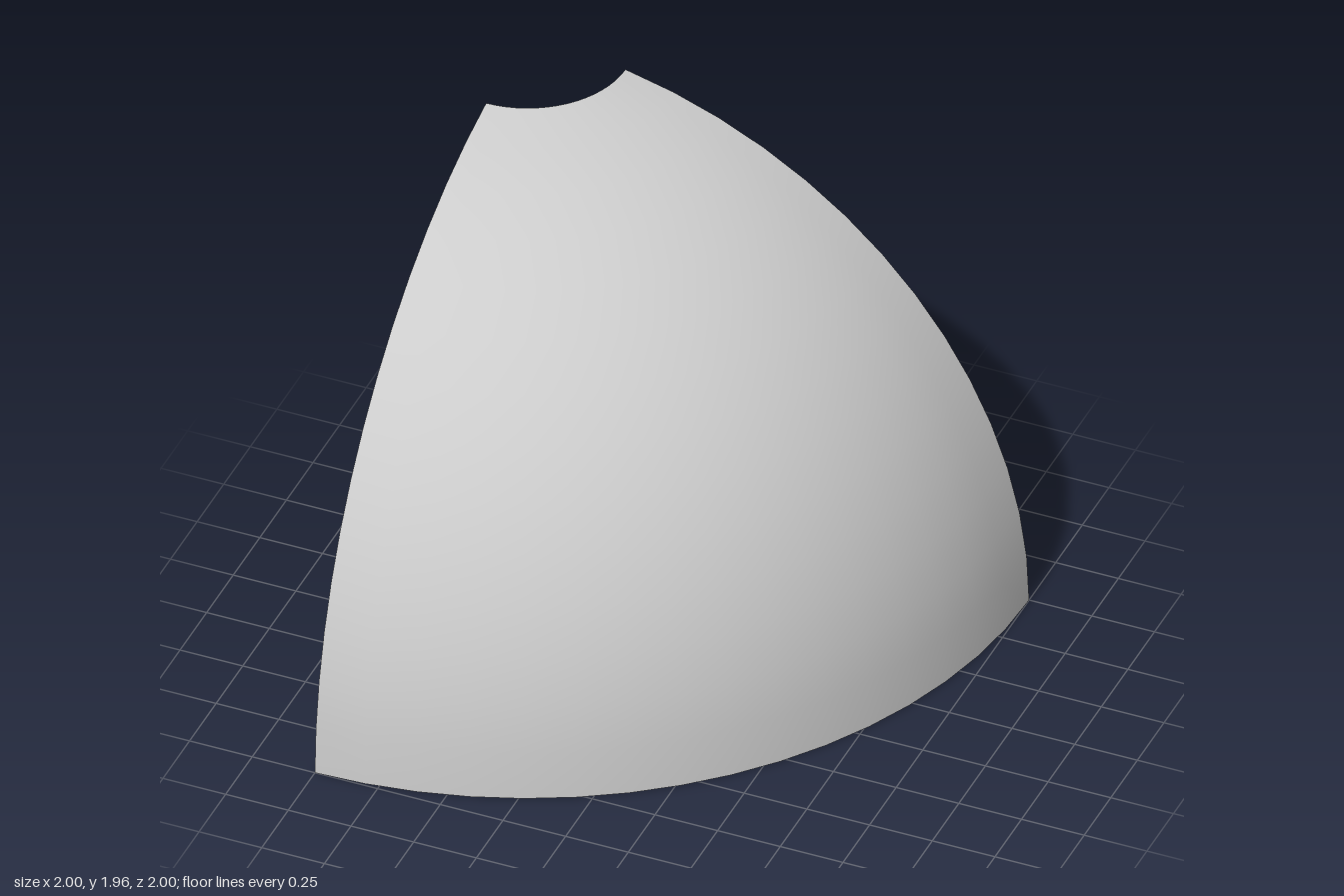
import * as THREE from 'three';
import { mergeGeometries, toCreasedNormals } from 'three/addons/utils/BufferGeometryUtils.js';

const OUTER = 2, THICKNESS = 0.04, SEGMENTS = 16, BANDS = 14; // the top two bands are left open

export function createModel() {
  const group = new THREE.Group();
  group.name = 'domeSection';

  // closed wall section: up the outside, down the inside
  const arc = (radius) => Array.from({ length: BANDS + 1 }, (_, i) => {
    const a = (i / SEGMENTS) * Math.PI / 2;
    return new THREE.Vector2(radius * Math.cos(a), radius * Math.sin(a));
  });
  const section = [...arc(OUTER), ...arc(OUTER - THICKNESS).reverse()];

  // quarter-turn shell including the base rim and the edge of the top opening
  const lathe = new THREE.LatheGeometry([...section, section[0].clone()], SEGMENTS, 0, Math.PI / 2);

  // flat cut faces at both ends of the sweep
  const sideCut = new THREE.ShapeGeometry(new THREE.Shape(section)).rotateY(-Math.PI / 2);
  const mirrored = section.map((p) => new THREE.Vector2(-p.x, p.y));
  const backCut = new THREE.ShapeGeometry(new THREE.Shape(mirrored)).rotateY(Math.PI);

  const geometry = toCreasedNormals(mergeGeometries([lathe, sideCut, backCut]), 0.6);
  geometry.translate(-1, 0, -1);

  const shell = new THREE.Mesh(geometry, new THREE.MeshStandardMaterial({ color: 0xcccccc }));
  shell.name = 'quarterDomeShell';
  group.add(shell);
  return group;
}
